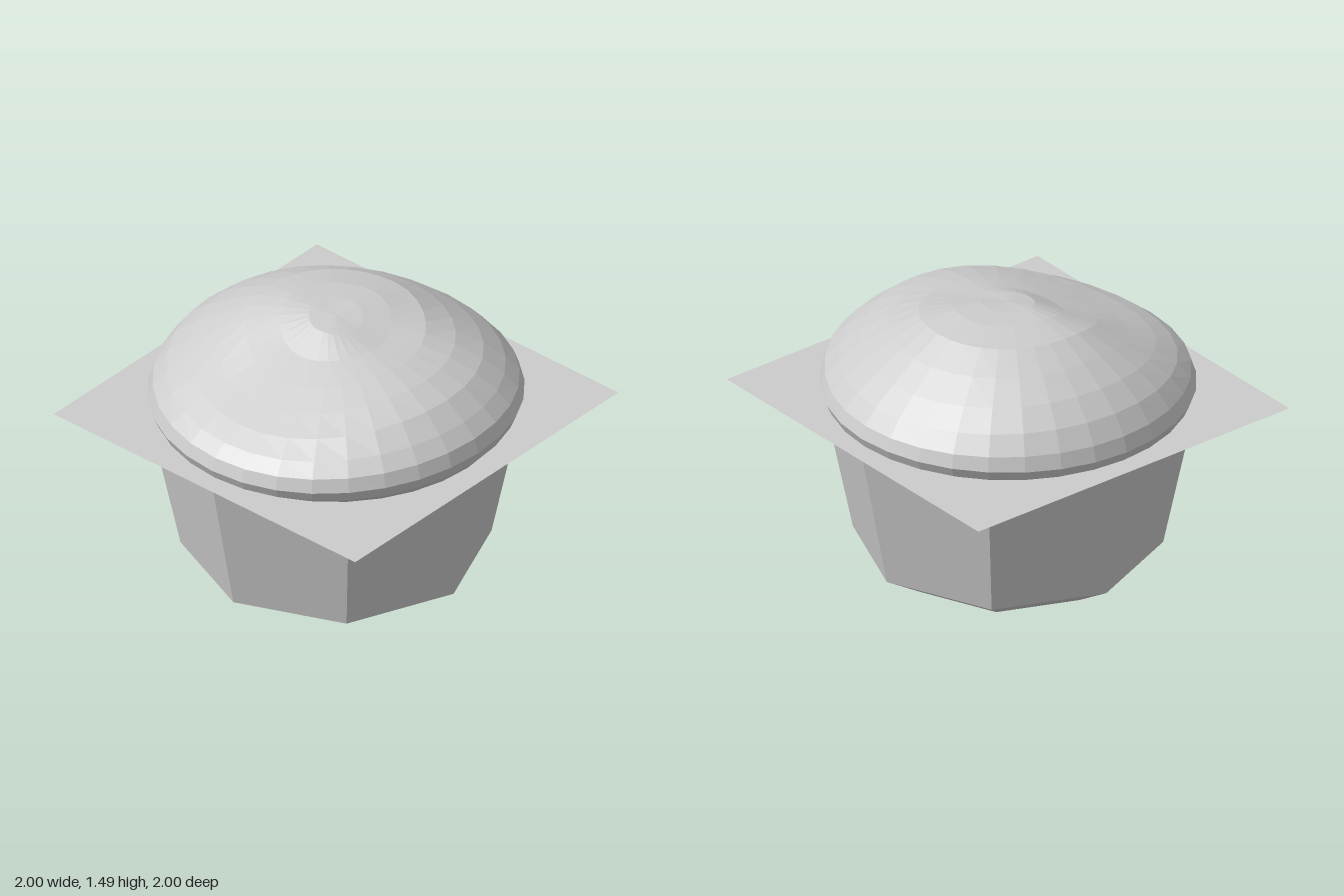
import * as THREE from 'three';

const grey = new THREE.MeshStandardMaterial({ color: 0xcccccc, flatShading: true });
const thin = new THREE.MeshStandardMaterial({ color: 0xcccccc, side: THREE.DoubleSide });
const rust = new THREE.MeshStandardMaterial({ color: 0x8a3a1c });

function addPart(group, name, geometry, material, y = 0) {
  const mesh = new THREE.Mesh(geometry, material);
  mesh.name = name;
  mesh.position.y = y;
  group.add(mesh);
  return mesh;
}

// Lumpy dome: ring radii from underside to crown, with ring heights towards four sides
const radii = [0.7, 0.87, 0.92, 0.945, 0.92, 0.85, 0.74, 0.6, 0.45, 0.28, 0.135, 0];
const heights = {
  left: [0.94, 0.94, 1.0, 1.065, 1.14, 1.21, 1.295, 1.35, 1.385, 1.41, 1.45, 1.475],
  front: [0.94, 0.935, 0.965, 1.02, 1.085, 1.14, 1.195, 1.25, 1.31, 1.375, 1.455, 1.475],
  right: [0.94, 0.935, 0.965, 1.02, 1.1, 1.2, 1.295, 1.38, 1.455, 1.485, 1.485, 1.475],
  back: [0.94, 0.935, 0.965, 1.02, 1.085, 1.165, 1.255, 1.355, 1.445, 1.48, 1.485, 1.475],
};

function domeGeometry() {
  const segments = 32;
  const geo = new THREE.LatheGeometry(radii.map((r) => new THREE.Vector2(r, 1)), segments);
  const pos = geo.attributes.position;
  for (let i = 0; i < pos.count; i++) {
    const ring = i % radii.length;
    const angle = (Math.floor(i / radii.length) / segments) * Math.PI * 2;
    const s = Math.sin(angle), c = Math.cos(angle);
    const sideX = s > 0 ? heights.left : heights.right;
    const sideZ = c > 0 ? heights.front : heights.back;
    pos.setY(i, sideX[ring] * s * s + sideZ[ring] * c * c);
  }
  geo.computeVertexNormals();
  return geo;
}

export function createModel() {
  const model = new THREE.Group();
  model.name = 'filledPot';

  // Eight-sided pot with a chamfered foot
  const potProfile = [[0, 0.004], [0.56, 0.004], [0.78, 0.14], [0.945, 0.942]];
  addPart(model, 'pot', new THREE.LatheGeometry(potProfile.map(([r, y]) => new THREE.Vector2(r, y)), 8), grey);

  // Square sheet level with the rim
  const sheet = new THREE.PlaneGeometry(2, 2).rotateX(-Math.PI / 2);
  addPart(model, 'sheet', sheet, thin, 0.943);

  addPart(model, 'dome', domeGeometry(), grey);

  // Small drain rings under the foot
  const drains = new THREE.Group();
  drains.name = 'drainRings';
  model.add(drains);
  const spots = [
    [0.39, -0.12], [0.23, -0.33], [0.26, -0.16], [-0.01, -0.37], [0.37, 0.07],
    [0.16, 0.01], [0, -0.06], [-0.22, -0.28], [0.17, 0.3], [0.01, 0.11],
    [-0.2, 0.04], [-0.29, -0.1], [-0.06, 0.33], [-0.2, 0.21], [-0.35, 0.07],
  ];
  const ring = new THREE.CylinderGeometry(0.035, 0.035, 0.008, 12, 1, true);
  for (const [x, z] of spots) {
    const mesh = addPart(drains, 'drainRing', ring, rust, 0.004);
    mesh.position.x = x;
    mesh.position.z = z;
  }
  return model;
}
